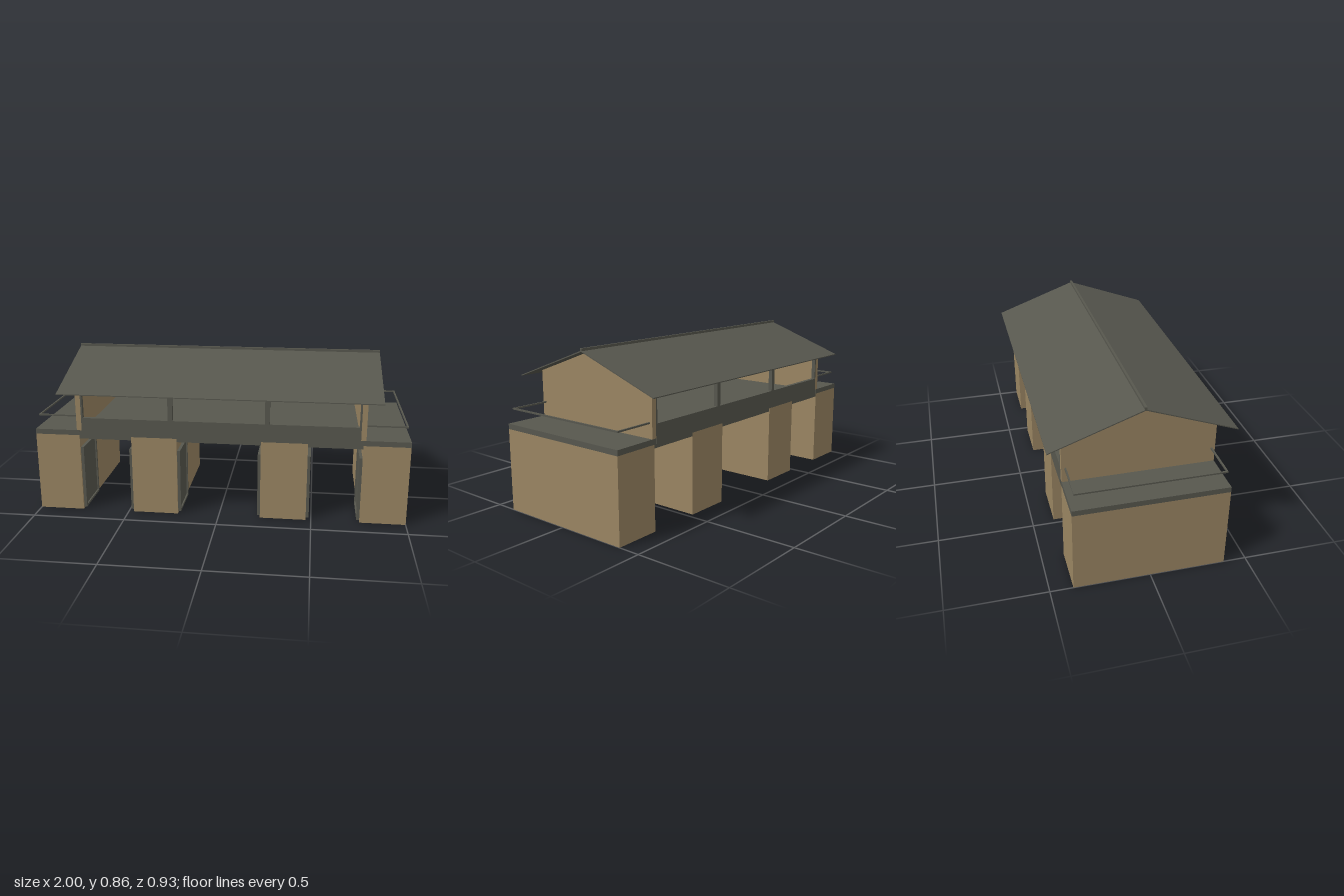
import * as THREE from 'three';

const tan = new THREE.MeshStandardMaterial({ color: 0x9a8562 });
tan.name = 'tan stone';
const slate = new THREE.MeshStandardMaterial({ color: 0x57574e });
slate.name = 'dark slate';

export function createModel() {
  const model = new THREE.Group();
  model.name = 'coveredBridge';

  // Box given by its minimum and maximum on each axis
  function box(name, mat, [x0, x1], [y0, y1], [z0, z1], parent = model) {
    const mesh = new THREE.Mesh(new THREE.BoxGeometry(x1 - x0, y1 - y0, z1 - z0), mat);
    mesh.position.set((x0 + x1) / 2, (y0 + y1) / 2, (z0 + z1) / 2);
    mesh.name = name;
    parent.add(mesh);
    return mesh;
  }
  const mirror = (s, a, b) => (s > 0 ? [a, b] : [-b, -a]);
  const D = 0.385; // half depth of the building

  // Framed door on a pier side; dir is the way it faces along x
  function door(x, dir) {
    const g = new THREE.Group();
    g.name = 'door';
    const across = (t) => (dir > 0 ? [x, x + t] : [x - t, x]);
    const [z0, z1, y0, y1, w] = [0.14, 0.375, 0.01, 0.36, 0.012];
    box('doorPanel', slate, across(0.008), [y0, y1], [z0, z1], g);
    box('doorJamb', slate, across(0.016), [y0, y1], [z0, z0 + w], g);
    box('doorJamb', slate, across(0.016), [y0, y1], [z1 - w, z1], g);
    box('doorHead', slate, across(0.016), [y1 - w, y1], [z0 + w, z1 - w], g);
    box('doorSill', slate, across(0.016), [y0, y0 + w], [z0 + w, z1 - w], g);
    model.add(g);
  }

  // Gable wall outline in z and y
  const gable = new THREE.Shape();
  gable.moveTo(-D, 0.46);
  gable.lineTo(D, 0.46);
  gable.lineTo(D, 0.703);
  gable.lineTo(0, 0.843);
  gable.lineTo(-D, 0.703);
  gable.closePath();

  for (const s of [1, -1]) {
    // Piers and their doors
    box('outerPier', tan, mirror(s, 0.757, 1), [0, 0.432], [-D, D]);
    box('innerPier', tan, mirror(s, 0.225, 0.472), [0, 0.432], [-D, D]);
    door(s * 0.757, -s);
    door(s * 0.472, s);
    door(s * 0.225, -s);

    // Terrace slab and its open rail
    box('terraceSlab', slate, mirror(s, 0.757, 1), [0.432, 0.46], [-D, D]);
    const rail = new THREE.Group();
    rail.name = 'terraceRail';
    box('endRail', slate, mirror(s, 0.973, 0.981), [0.532, 0.54], [-0.37, 0.37], rail);
    for (const t of [1, -1])
      box('sideRail', slate, mirror(s, 0.77, 0.973), [0.532, 0.54], mirror(t, 0.362, 0.37), rail);
    model.add(rail);

    // Gable wall
    const wall = new THREE.Mesh(
      new THREE.ExtrudeGeometry(gable, { depth: 0.027, bevelEnabled: false }), tan);
    wall.rotation.y = Math.PI / 2;
    wall.position.x = s > 0 ? 0.743 : -0.77;
    wall.name = 'gableWall';
    model.add(wall);
  }

  // Deck joining the piers
  box('deck', slate, [-0.757, 0.757], [0.413, 0.459], [-0.383, 0.383]);

  // Long sides: parapet, eave beam and posts
  for (const s of [1, -1]) {
    box('parapet', slate, [-0.743, 0.743], [0.432, 0.53], mirror(s, 0.363, D));
    box('eaveBeam', slate, [-0.743, 0.743], [0.66, 0.69], mirror(s, 0.363, D));
    for (const t of [1, -1]) {
      box('post', slate, mirror(t, 0.245, 0.27), [0.53, 0.66], mirror(s, 0.363, D));
      box('endPost', slate, mirror(t, 0.734, 0.743), [0.53, 0.66], mirror(s, 0.363, D));
    }
  }

  // Thin pitched roof with a ridge cap
  const roof = new THREE.Shape();
  roof.moveTo(-0.463, 0.675);
  roof.lineTo(0, 0.843);
  roof.lineTo(0.463, 0.675);
  roof.lineTo(0.463, 0.68);
  roof.lineTo(0, 0.849);
  roof.lineTo(-0.463, 0.68);
  roof.closePath();
  const roofMesh = new THREE.Mesh(
    new THREE.ExtrudeGeometry(roof, { depth: 1.69, bevelEnabled: false }), slate);
  roofMesh.rotation.y = Math.PI / 2;
  roofMesh.position.x = -0.845;
  roofMesh.name = 'roof';
  model.add(roofMesh);
  box('ridgeCap', slate, [-0.845, 0.845], [0.845, 0.86], [-0.006, 0.006]);

  return model;
}
